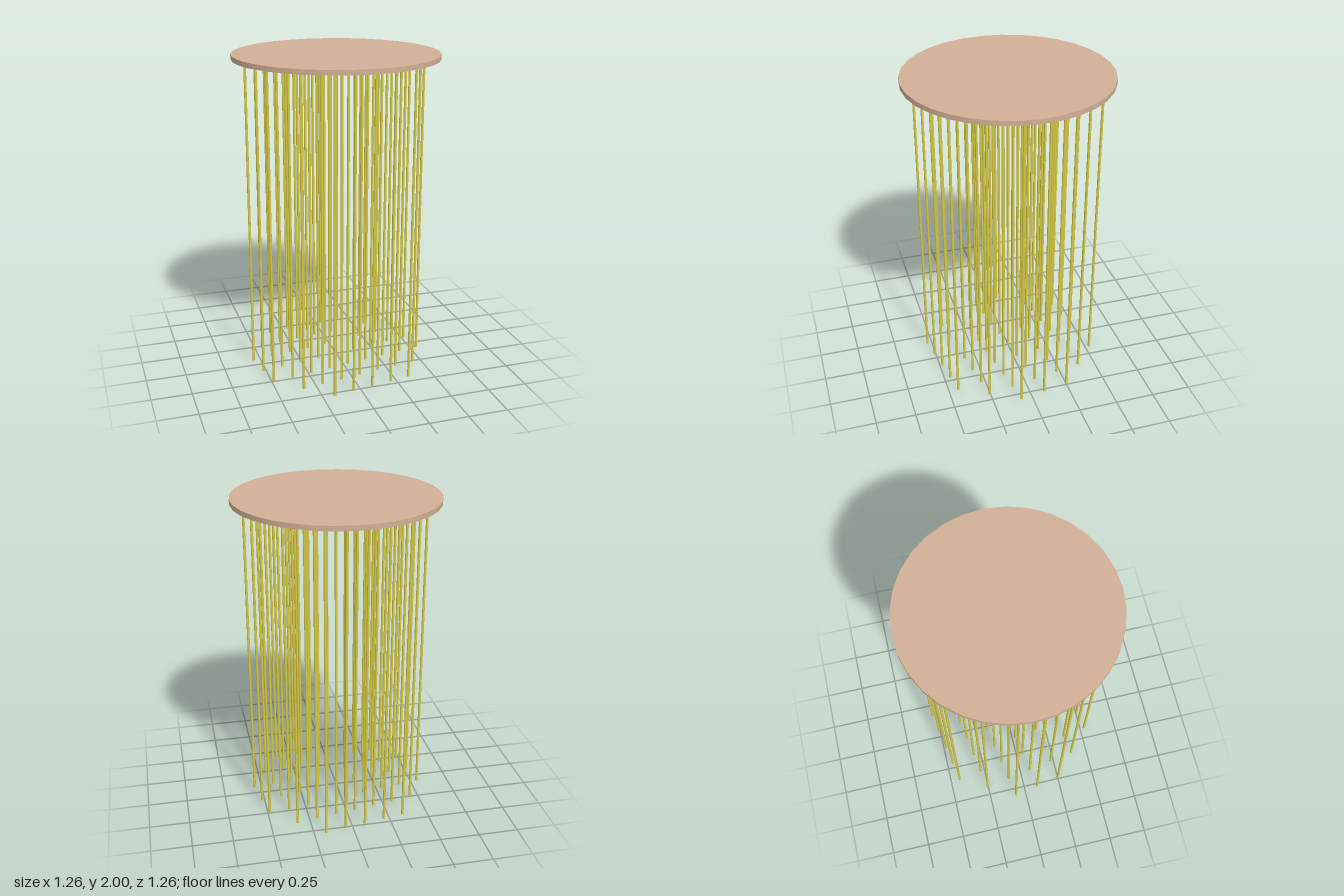
import * as THREE from 'three';

const RADIUS = 0.63, TOP = 2, THICK = 0.03;
const STEP_X = 0.131, STEP_Z = 0.1635; // rod grid spacing
const ROD_RADIUS = 0.008;

export function createModel() {
  const model = new THREE.Group();
  model.name = 'hangingRodCanopy';

  // Round ceiling plate
  const plate = new THREE.Mesh(
    new THREE.CylinderGeometry(RADIUS, RADIUS, THICK, 32),
    new THREE.MeshStandardMaterial({ color: 0xd2b096 })
  );
  plate.name = 'plate';
  plate.position.y = TOP - THICK / 2;
  model.add(plate);

  // Thin rods on a rectangular grid, kept where they fit under the plate
  const rods = new THREE.Group();
  rods.name = 'rods';
  const length = TOP - THICK;
  const rodGeometry = new THREE.CylinderGeometry(ROD_RADIUS, ROD_RADIUS, length, 10);
  const rodMaterial = new THREE.MeshStandardMaterial({ color: 0xd6ca45 });
  for (let i = -4; i <= 4; i++) {
    for (let j = -3; j <= 3; j++) {
      const x = i * STEP_X, z = j * STEP_Z;
      if (Math.hypot(x, z) > 0.59) continue;
      const rod = new THREE.Mesh(rodGeometry, rodMaterial);
      rod.name = 'rod';
      rod.position.set(x, length / 2, z);
      rods.add(rod);
    }
  }
  model.add(rods);

  // The whole piece is turned slightly about its axis
  model.rotation.y = THREE.MathUtils.degToRad(10);
  return model;
}
